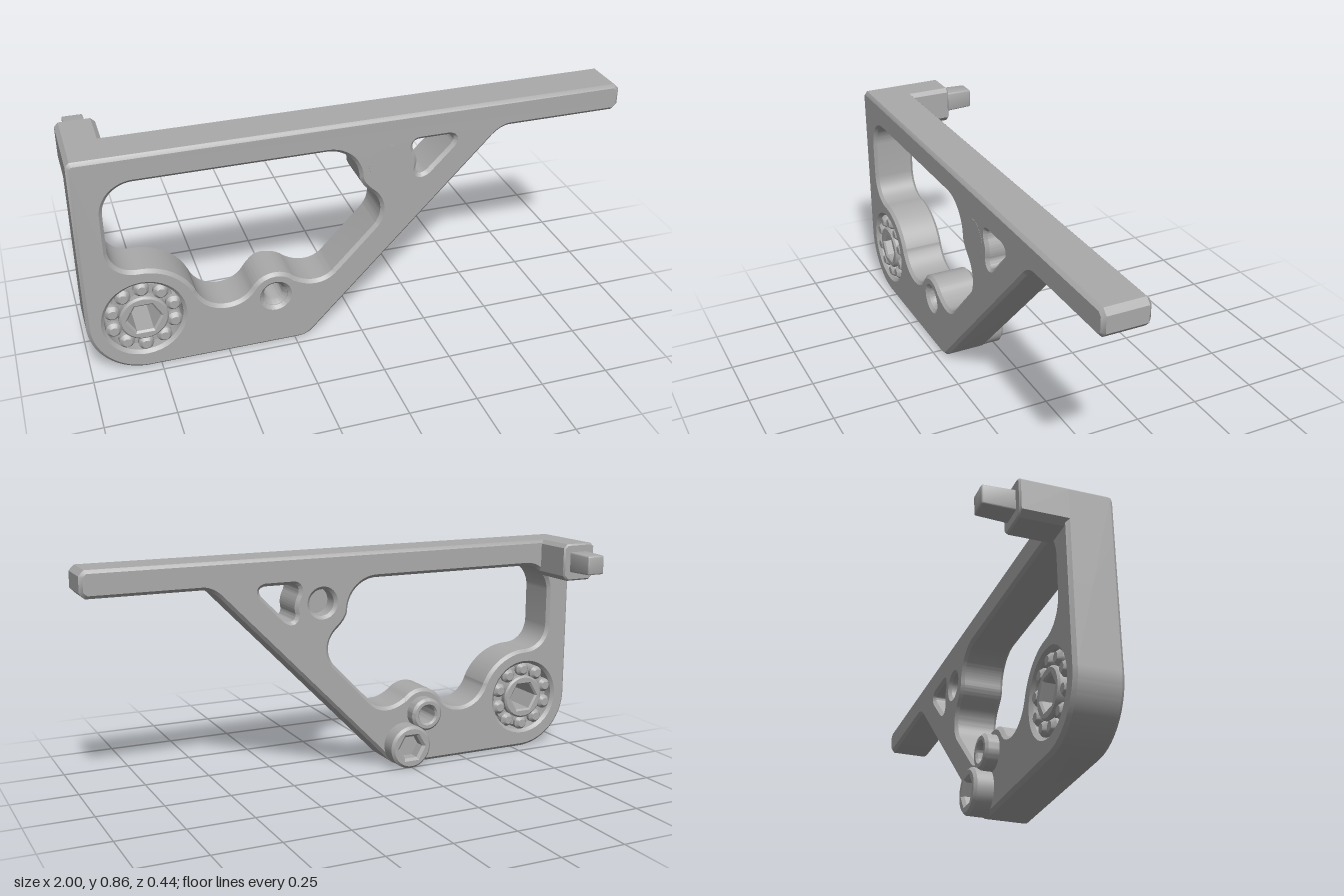
import * as THREE from 'three';
import { toCreasedNormals } from 'three/addons/utils/BufferGeometryUtils.js';
import { RoundedBoxGeometry } from 'three/addons/geometries/RoundedBoxGeometry.js';

const grey = new THREE.MeshStandardMaterial({ color: 0xaaaaaa });
grey.name = 'grey';
const PI = Math.PI;
const BACK = 0.05, FRONT = 0.22;

// Extrudes a shape from z0 to z1, with chamfered edges that stay inside its outline
function prism(shape, z0, z1, bevel) {
  const geo = new THREE.ExtrudeGeometry(shape, {
    depth: z1 - z0 - 2 * bevel, curveSegments: 20, bevelEnabled: true,
    bevelThickness: bevel, bevelSize: bevel, bevelOffset: -bevel, bevelSegments: 1,
  });
  geo.translate(0, 0, z0 + bevel);
  return toCreasedNormals(geo, 0.6);
}

// Turns a profile of [radius, z] around the z axis
function turned(points, segments = 48) {
  const geo = new THREE.LatheGeometry(points.map(([r, z]) => new THREE.Vector2(r, z)), segments);
  geo.rotateX(PI / 2);
  return toCreasedNormals(geo, 0.6);
}

function circlePath(x, y, r) {
  return new THREE.Path().absarc(x, y, r, 0, PI * 2, true);
}

function hexPath(r) {
  const pts = [];
  for (let i = 0; i < 6; i++) pts.push(new THREE.Vector2(r * Math.cos(-i * PI / 3), r * Math.sin(-i * PI / 3)));
  return new THREE.Path(pts).closePath();
}

function plateShape() {
  const s = new THREE.Shape();
  s.moveTo(-1, 0.84);
  s.lineTo(-1, 0.21);
  s.absarc(-0.79, 0.21, 0.21, PI, PI * 1.5, false);
  s.lineTo(-0.24, 0);
  s.quadraticCurveTo(-0.2, 0, -0.175, 0.028);
  s.lineTo(0.49, 0.71);
  s.quadraticCurveTo(0.53, 0.755, 0.57, 0.755);
  s.lineTo(0.98, 0.755);
  s.lineTo(1, 0.775);
  s.lineTo(1, 0.835);
  s.lineTo(0.98, 0.855);
  s.lineTo(-0.985, 0.855);
  s.closePath();

  // Large window, wrapping round the bearing and the small boss
  const w = new THREE.Path();
  w.moveTo(-0.79, 0.755);
  w.lineTo(-0.12, 0.755);
  w.absarc(-0.12, 0.635, 0.12, PI / 2, 0, true);
  w.quadraticCurveTo(0.005, 0.605, 0.045, 0.57);
  w.bezierCurveTo(0.09, 0.53, 0.09, 0.47, 0.055, 0.43);
  w.lineTo(-0.1, 0.27);
  w.bezierCurveTo(-0.14, 0.23, -0.2, 0.235, -0.249, 0.271);
  w.absarc(-0.32, 0.2, 0.1, PI / 4, PI * 5 / 6, false);
  w.bezierCurveTo(-0.45, 0.185, -0.57, 0.185, -0.608, 0.285);
  w.absarc(-0.8, 0.2, 0.21, 0.417, PI / 2, false);
  w.bezierCurveTo(-0.86, 0.41, -0.9, 0.45, -0.9, 0.51);
  w.lineTo(-0.9, 0.645);
  w.absarc(-0.79, 0.645, 0.11, PI, PI / 2, true);

  // Small triangular window
  const t = new THREE.Path();
  t.moveTo(0.22, 0.752);
  t.lineTo(0.33, 0.752);
  t.quadraticCurveTo(0.368, 0.745, 0.342, 0.712);
  t.lineTo(0.255, 0.625);
  t.quadraticCurveTo(0.215, 0.597, 0.21, 0.64);
  t.quadraticCurveTo(0.22, 0.675, 0.2, 0.71);
  t.quadraticCurveTo(0.188, 0.748, 0.22, 0.752);

  s.holes.push(w, t, circlePath(-0.797, 0.211, 0.14), circlePath(-0.32, 0.205, 0.048), circlePath(0.105, 0.675, 0.05));
  return s;
}

export function createModel() {
  const model = new THREE.Group();
  model.name = 'bracket';
  const add = (name, geo, x = 0, y = 0, z = 0, parent = model) => {
    const mesh = new THREE.Mesh(geo, grey);
    mesh.name = name;
    mesh.position.set(x, y, z);
    parent.add(mesh);
    return mesh;
  };

  add('plate', prism(plateShape(), BACK, FRONT, 0.012));

  // Closes the front of the blind hole in the back
  add('blindHolePlug', turned([[0, 0.12], [0.072, 0.12], [0.072, FRONT + 0.0005], [0, FRONT + 0.0005]]), 0.105, 0.675);

  // Bearing: hub with a hexagonal hole, recessed web and a ring of rollers
  const bearing = new THREE.Group();
  bearing.name = 'bearing';
  bearing.position.set(-0.797, 0.211, 0);
  model.add(bearing);
  const hub = new THREE.Shape().absarc(0, 0, 0.088, 0, PI * 2, false);
  hub.holes.push(hexPath(0.06));
  add('hub', prism(hub, BACK, FRONT, 0.007), 0, 0, 0, bearing);
  add('web', turned([[0.08, 0.08], [0.125, 0.08], [0.125, 0.19], [0.08, 0.19]]), 0, 0, 0, bearing);
  const roller = turned([[0, 0.052], [0.016, 0.052], [0.028, 0.066], [0.028, 0.204], [0.016, 0.218], [0, 0.218]], 20);
  for (let i = 0; i < 10; i++) {
    const a = PI / 2 + i * PI / 5;
    add('roller', roller, 0.114 * Math.cos(a), 0.114 * Math.sin(a), 0, bearing);
  }

  // Small hollow boss, open through to a countersink in the front
  add('boss', turned([
    [0.035, 0.008], [0.042, 0], [0.055, 0], [0.065, 0.01], [0.065, 0.06],
    [0.052, 0.06], [0.052, 0.205], [0.048, 0.205], [0.035, 0.185], [0.035, 0.008],
  ]), -0.32, 0.205);

  // Screw head with a hexagonal socket
  const head = new THREE.Shape().absarc(0, 0, 0.085, 0, PI * 2, false);
  head.holes.push(hexPath(0.05));
  add('screwHead', prism(head, -0.02, 0.075, 0.01), -0.24, 0.087);
  add('socketFloor', turned([[0, 0.03], [0.07, 0.03], [0.07, 0.06], [0, 0.06]]), -0.24, 0.087);

  // Arm reaching back from the top corner
  const arm = new THREE.Shape();
  arm.moveTo(-0.98, 0.71);
  arm.lineTo(-0.88, 0.71);
  arm.lineTo(-0.86, 0.73);
  arm.lineTo(-0.86, 0.84);
  arm.lineTo(-0.875, 0.855);
  arm.lineTo(-0.985, 0.855);
  arm.lineTo(-1, 0.84);
  arm.lineTo(-1, 0.73);
  arm.closePath();
  add('arm', prism(arm, -0.107, 0.068, 0.006));

  // Tapered pin at the end of the arm
  const pin = new RoundedBoxGeometry(0.08, 0.08, 0.13, 2, 0.006);
  const p = pin.attributes.position;
  for (let i = 0; i < p.count; i++) {
    const k = 0.91 + 0.09 * (p.getZ(i) / 0.13 + 0.5);
    p.setXY(i, p.getX(i) * k, p.getY(i) * k);
  }
  add('pin', toCreasedNormals(pin, 0.6), -0.928, 0.784, -0.155);

  return model;
}
